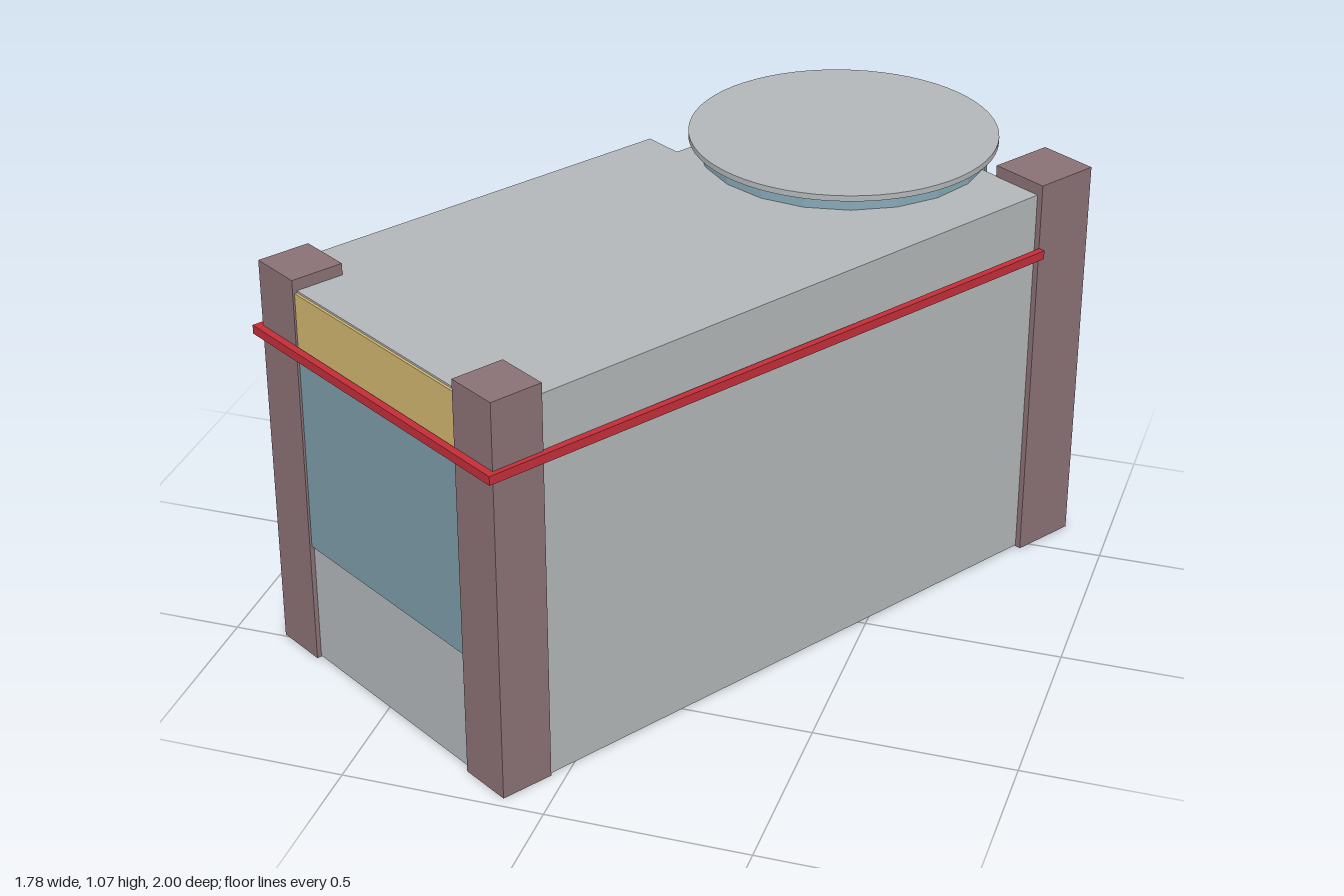
import * as THREE from 'three';

const mat = (name, color, flat = false) => {
  const m = new THREE.MeshStandardMaterial({ color });
  m.name = name;
  m.flatShading = flat;
  return m;
};

export function createModel() {
  const concrete = mat('pale concrete', 0xb2b6b8);
  const stone = mat('mauve stone', 0x8a7175);
  const glass = mat('blue glass', 0x7c9ba8);
  const ochre = mat('ochre panel', 0xd0b56e);
  const red = mat('red trim', 0xc22d38);
  const plinthDark = mat('dark slate', 0x3f4a53, true);
  const ringDark = mat('dark sill', 0x43484c);
  const skyGlass = mat('light blue glass', 0x86a8b6, true);

  const model = new THREE.Group();
  const add = (parent, name, geometry, material) => {
    const mesh = new THREE.Mesh(geometry, material);
    mesh.name = name;
    parent.add(mesh);
    return mesh;
  };
  // Box given by its limits on each axis
  const box = (parent, name, material, x0, x1, y0, y1, z0, z1) => {
    const mesh = add(parent, name, new THREE.BoxGeometry(x1 - x0, y1 - y0, z1 - z0), material);
    mesh.position.set((x0 + x1) / 2, (y0 + y1) / 2, (z0 + z1) / 2);
    return mesh;
  };

  // Main block, turned about the vertical axis
  const block = new THREE.Group();
  block.name = 'mainBlock';
  block.rotation.y = -0.561;
  model.add(block);

  // Hall with a notch at the rear where the tower joins
  const plan = [[-0.472, 0.868], [0.422, 0.868], [0.405, -0.825], [-0.365, -0.825], [-0.365, -0.308], [-0.472, -0.308]];
  const hallShape = new THREE.Shape(plan.map(([x, z]) => new THREE.Vector2(x, -z)));
  const hall = new THREE.ExtrudeGeometry(hallShape, { depth: 1.012, bevelEnabled: false });
  hall.rotateX(-Math.PI / 2);
  add(block, 'hall', hall, concrete).position.y = 0.003;

  // Corner pillars
  [
    ['frontRightPillar', -0.475, -0.335, 0.74, 0.88],
    ['frontLeftPillar', 0.285, 0.425, 0.74, 0.88],
    ['backLeftPillar', 0.262, 0.421, -0.995, -0.822],
    ['backRightPillar', -0.48, -0.335, -0.762, -0.616],
  ].forEach(([name, x0, x1, z0, z1]) => box(block, name, stone, x0, x1, 0, 1.045, z0, z1));

  // Front panels between the pillars
  box(block, 'frontWindow', glass, -0.335, 0.285, 0.322, 0.838, 0.867, 0.874);
  box(block, 'frontSign', ochre, -0.335, 0.285, 0.862, 1.01, 0.867, 0.875);

  // Red trim around three sides
  box(block, 'frontTrim', red, -0.491, 0.438, 0.851, 0.874, 0.88, 0.899);
  box(block, 'leftTrim', red, 0.42, 0.438, 0.851, 0.874, -0.824, 0.88);
  box(block, 'rightTrim', red, -0.491, -0.471, 0.851, 0.874, -0.616, 0.88);

  // Round tower
  const tower = new THREE.Group();
  tower.name = 'tower';
  tower.position.set(0.25, 0, -0.607);
  model.add(tower);
  const drum = (name, r, y0, y1, sides, material) => {
    const mesh = add(tower, name, new THREE.CylinderGeometry(r, r, y1 - y0, sides), material);
    mesh.position.y = (y0 + y1) / 2;
  };
  drum('plinth', 0.395, 0, 0.215, 8, plinthDark);
  drum('towerWall', 0.358, 0.215, 0.89, 48, concrete);
  drum('topGlazing', 0.37, 0.888, 1.05, 20, skyGlass);
  drum('towerRoof', 0.394, 1.05, 1.065, 64, concrete);

  // Sill rings up the tower
  for (let i = 0; i < 8; i++) {
    const y = 0.29 + i * 0.075;
    drum('sillRing', 0.363, y - 0.007, y + 0.007, 48, ringDark);
  }

  // Tall window strips on the exposed side
  for (let deg = 2; deg <= 112; deg += 22) {
    const a = THREE.MathUtils.degToRad(deg);
    const strip = add(tower, 'windowStrip', new THREE.BoxGeometry(0.02, 0.655, 0.042), glass);
    strip.position.set(0.358 * Math.cos(a), 0.562, -0.358 * Math.sin(a));
    strip.rotation.y = a;
  }

  return model;
}
